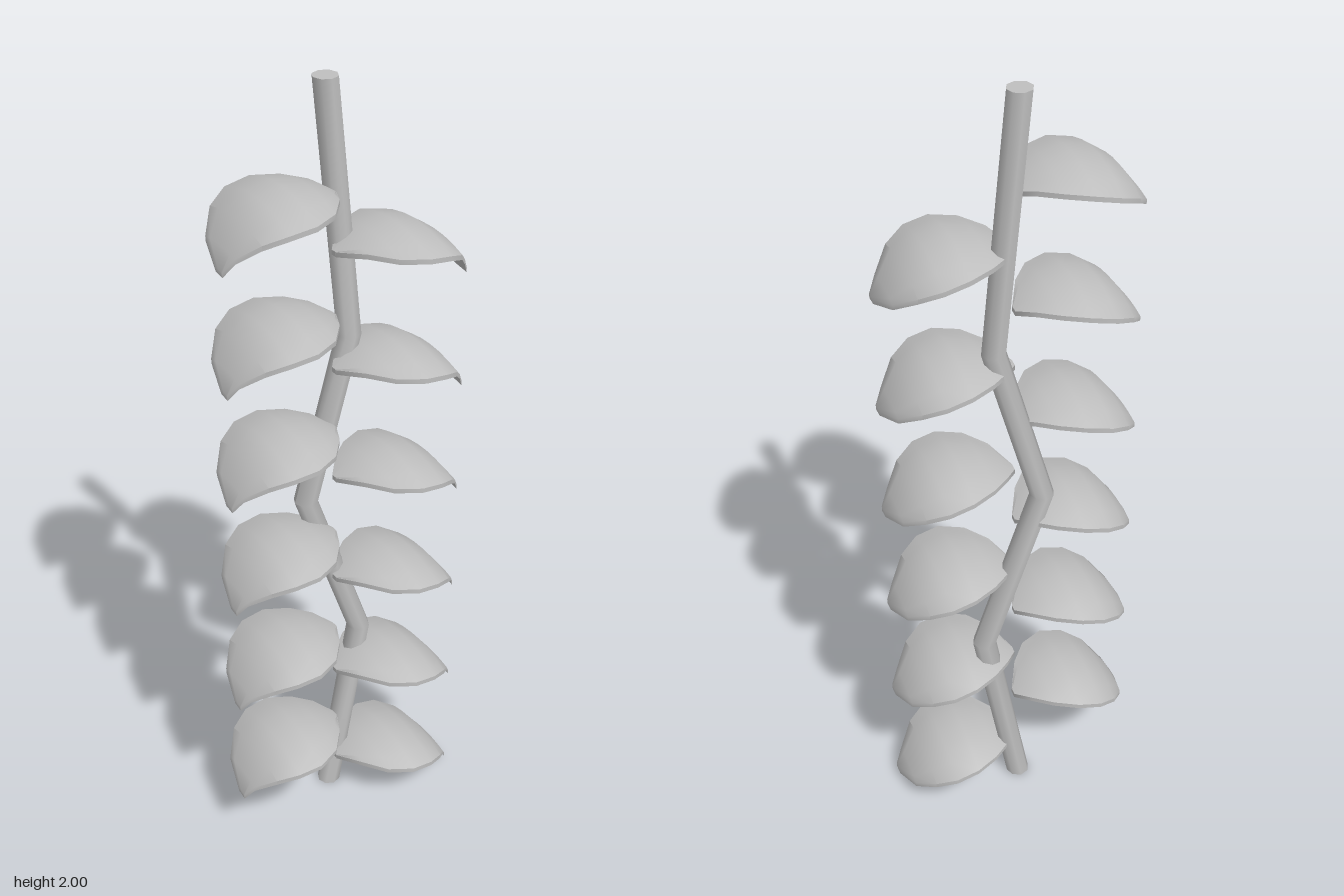
import * as THREE from 'three';
import { toCreasedNormals } from 'three/addons/utils/BufferGeometryUtils.js';

const grey = new THREE.MeshStandardMaterial({ color: 0xbfbfbf });
grey.name = 'plain grey';

// Leaf stations from stalk to tip: [x, back z, front z, ridge height]
const STATIONS = [
  [0, -0.035, -0.015, -0.05], [0.035, -0.08, 0.06, -0.027],
  [0.08, -0.12, 0.12, -0.01], [0.14, -0.15, 0.15, 0],
  [0.2, -0.152, 0.143, -0.013], [0.25, -0.125, 0.112, -0.047],
  [0.29, -0.07, 0.065, -0.1], [0.31, 0.015, 0.045, -0.137],
];
const ACROSS = 6;
const THICK = 0.012;

// Thin domed shell lofted through the stations; side is +1 or -1
function leafGeometry(side) {
  const pos = [], index = [];
  const ring = 2 * (ACROSS + 1);
  const tri = (a, b, c) => (side > 0 ? index.push(a, b, c) : index.push(a, c, b));
  const quad = (a, b, c, d) => { tri(a, b, c); tri(a, c, d); };
  for (const [x, back, front, ridge] of STATIONS) {
    for (let k = 0; k < ring; k++) {
      const under = k > ACROSS;
      const t = (under ? ring - 1 - k : k) / ACROSS;
      const z = back + (front - back) * t;
      const drop = 0.032 * (z / 0.15) ** 2;
      pos.push(side * x, ridge - drop - (under ? THICK : 0), z);
    }
  }
  for (let i = 0; i < STATIONS.length - 1; i++) {
    for (let k = 0; k < ring; k++) {
      const n = (k + 1) % ring, a = i * ring, b = a + ring;
      quad(a + k, a + n, b + n, b + k);
    }
  }
  // Close the stalk end and the tip
  const last = (STATIONS.length - 1) * ring;
  for (let k = 0; k < ACROSS; k++) {
    const m = ring - 1 - k;
    quad(k, m, m - 1, k + 1);
    quad(last + k, last + k + 1, last + m - 1, last + m);
  }
  const g = new THREE.BufferGeometry();
  g.setAttribute('position', new THREE.Float32BufferAttribute(pos, 3));
  g.setIndex(index);
  return toCreasedNormals(g, 0.9);
}

// Zigzag stem: the rows of a cylinder are moved to the bends
function stemGeometry() {
  const bends = [[0, 0], [0.09, 0.5], [-0.06, 0.94], [0.06, 1.37], [0, 2]];
  const g = new THREE.CylinderGeometry(0.03, 0.03, 4, 8, 4);
  const p = g.attributes.position;
  for (let i = 0; i < p.count; i++) {
    const [x, y] = bends[Math.round(p.getY(i) + 2)];
    p.setXYZ(i, p.getX(i) + x, y, p.getZ(i) - 0.06);
  }
  return toCreasedNormals(g, 0.9);
}

export function createModel() {
  const model = new THREE.Group();
  model.name = 'climbingVine';

  const stem = new THREE.Mesh(stemGeometry(), grey);
  stem.name = 'stem';
  model.add(stem);

  // Six leaves on each side, alternating in height
  for (const side of [1, -1]) {
    const geometry = leafGeometry(side);
    for (let i = 0; i < 6; i++) {
      const leaf = new THREE.Mesh(geometry, grey);
      leaf.name = (side > 0 ? 'leftLeaf' : 'rightLeaf') + (i + 1);
      leaf.position.y = (side > 0 ? 0.163 : 0.308) + i * 0.299;
      model.add(leaf);
    }
  }
  return model;
}
